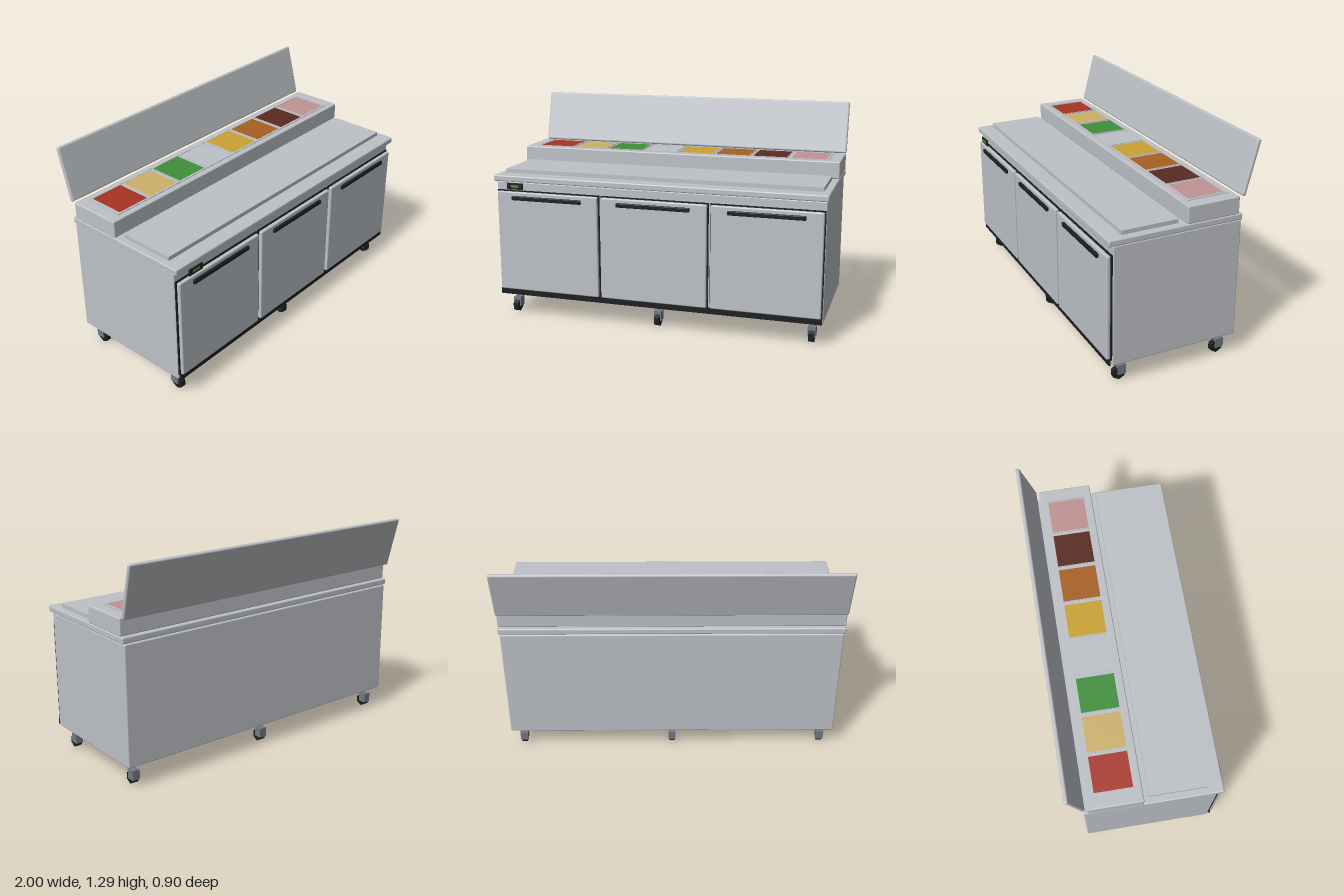
import * as THREE from 'three';
import { RoundedBoxGeometry } from 'three/addons/geometries/RoundedBoxGeometry.js';

const paint = (name, color) => {
  const m = new THREE.MeshStandardMaterial({ color });
  m.name = name;
  return m;
};

export function createModel() {
  const model = new THREE.Group();
  model.name = 'prepTable';

  const steel = paint('steel', 0xbec2c7);
  const black = paint('black', 0x1c1e20);
  const grey = paint('casterGrey', 0x737a82);
  const green = paint('green', 0x3e8f39);
  const foods = [
    paint('red', 0xa83322), paint('tan', 0xcdb06a), green, steel,
    paint('yellow', 0xcba332), paint('orange', 0xa86122),
    paint('brown', 0x5a2a20), paint('pink', 0xc29292),
  ];

  // Box from its low and high limits on each axis; bevel > 0 rounds the edges
  function box(name, mat, [x0, x1], [y0, y1], [z0, z1], bevel = 0, parent = model) {
    const size = [x1 - x0, y1 - y0, z1 - z0];
    const geo = bevel
      ? new RoundedBoxGeometry(...size, 2, bevel)
      : new THREE.BoxGeometry(...size);
    const mesh = new THREE.Mesh(geo, mat);
    mesh.position.set((x0 + x1) / 2, (y0 + y1) / 2, (z0 + z1) / 2);
    mesh.name = name;
    parent.add(mesh);
    return mesh;
  }

  // Flat rectangular frame lying in the xz plane
  function frame(name, cx, cz, w, d, border, y0, y1) {
    const rect = (Kind, hw, hd) => new Kind([
      new THREE.Vector2(-hw, -hd), new THREE.Vector2(hw, -hd),
      new THREE.Vector2(hw, hd), new THREE.Vector2(-hw, hd),
    ]);
    const shape = rect(THREE.Shape, w / 2, d / 2);
    shape.holes.push(rect(THREE.Path, w / 2 - border, d / 2 - border));
    const geo = new THREE.ExtrudeGeometry(shape, { depth: y1 - y0, bevelEnabled: false });
    geo.rotateX(-Math.PI / 2);
    const mesh = new THREE.Mesh(geo, steel);
    mesh.position.set(cx, y0, cz);
    mesh.name = name;
    model.add(mesh);
  }

  // Cabinet, worktop and cutting board
  box('cabinet', steel, [-0.99, 0.99], [0.129, 0.836], [-0.36, 0.408], 0.008);
  box('worktop', steel, [-1, 1], [0.839, 0.876], [-0.36, 0.438], 0.008);
  box('worktopCore', steel, [-0.97, 0.97], [0.83, 0.845], [-0.34, 0.39]);
  box('cuttingBoard', steel, [-0.96, 0.96], [0.874, 0.9], [0.014, 0.347]);

  // Raised rail with its row of food pans
  box('panRail', steel, [-1, 1], [0.876, 0.978], [-0.337, -0.02], 0.007);
  frame('railTrim', 0, -0.18, 1.866, 0.25, 0.012, 0.974, 0.982);
  foods.forEach((mat, i) => {
    const x = (i - 3.5) * 0.2308, z = -0.178;
    frame('panRim', x, z, 0.216, 0.23, 0.005, 0.974, 0.982);
    box('panFood', mat, [x - 0.103, x + 0.103], [0.974, 0.98], [z - 0.11, z + 0.11]);
  });

  // Open lid leaning back
  const lid = box('lid', steel, [-1, 1], [0.968, 1.286], [-0.412, -0.388], 0.01);
  lid.rotation.x = -0.255;

  // Three doors with gaskets and bar handles
  for (const x of [-0.66, 0, 0.66]) {
    box('doorGasket', black, [x - 0.325, x + 0.325], [0.163, 0.785], [0.406, 0.415]);
    box('door', steel, [x - 0.319, x + 0.319], [0.167, 0.779], [0.414, 0.438], 0.008);
    box('doorHandle', black, [x - 0.22, x + 0.22], [0.731, 0.756], [0.436, 0.452], 0.004);
  }

  // Kick strip and temperature controller
  box('kickStrip', black, [-0.985, 0.985], [0.132, 0.167], [0.418, 0.427]);
  box('controller', black, [-0.91, -0.808], [0.796, 0.834], [0.437, 0.444]);
  box('controllerDisplay', green, [-0.884, -0.834], [0.807, 0.823], [0.443, 0.446]);

  // Six casters: mounting plate, fork and six-sided wheel
  const wheelGeo = new THREE.CylinderGeometry(0.039, 0.039, 0.032, 6).toNonIndexed();
  wheelGeo.computeVertexNormals();
  wheelGeo.rotateZ(Math.PI / 2);
  wheelGeo.rotateX(Math.PI / 2);
  for (const x of [-0.92, 0, 0.92]) {
    for (const z of [0.34, -0.283]) {
      const caster = new THREE.Group();
      caster.name = 'caster';
      caster.position.set(x, 0, z);
      model.add(caster);
      box('casterPlate', grey, [-0.03, 0.03], [0.119, 0.131], [-0.03, 0.03], 0, caster);
      box('casterFork', grey, [-0.023, 0.023], [0.028, 0.086], [-0.039, 0.011], 0, caster);
      const wheel = new THREE.Mesh(wheelGeo, black);
      wheel.name = 'casterWheel';
      wheel.position.y = 0.0338;
      caster.add(wheel);
    }
  }
  return model;
}
